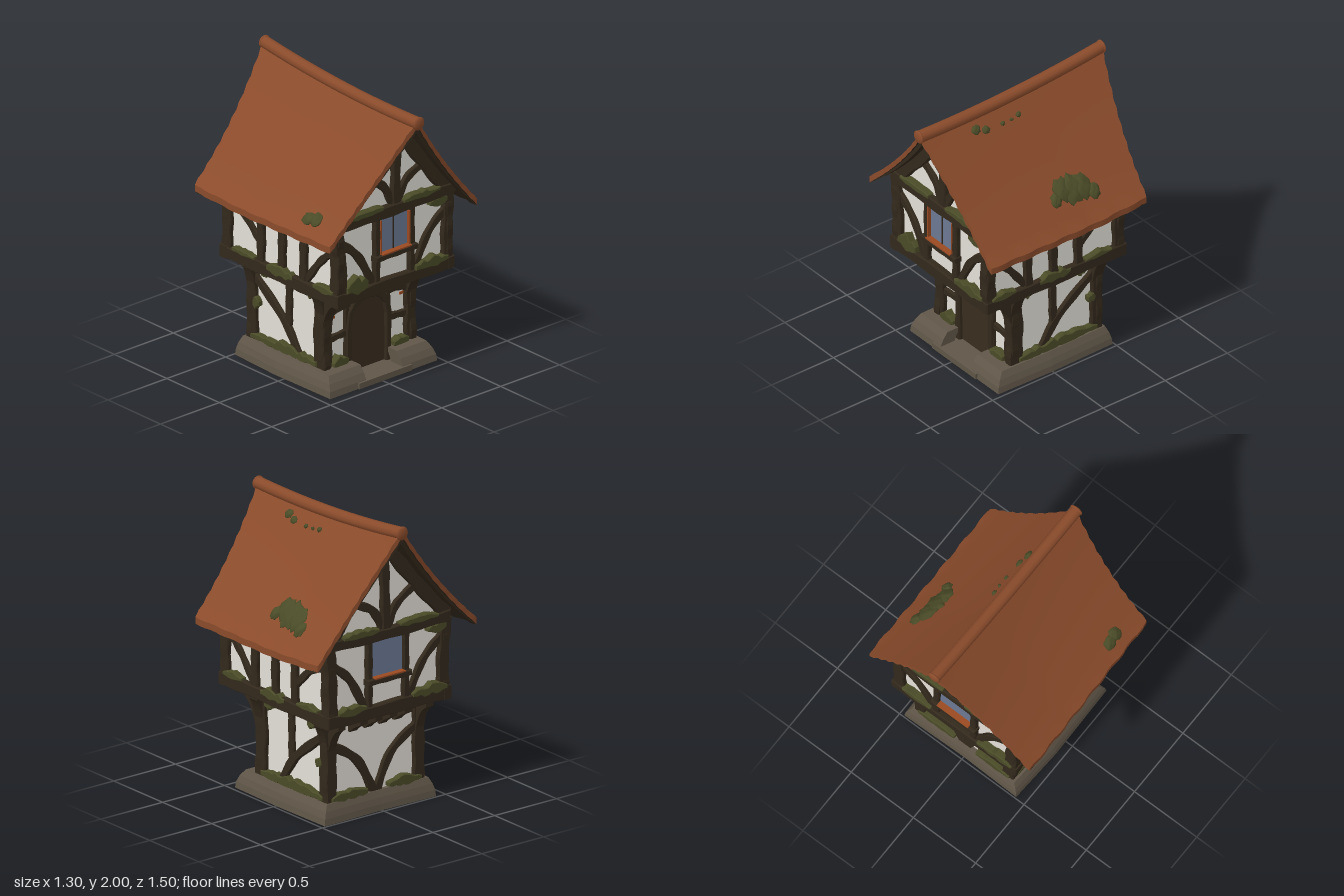
import * as THREE from 'three';

const mat = (name, color) => {
  const m = new THREE.MeshStandardMaterial({ color, side: THREE.DoubleSide });
  m.name = name;
  return m;
};

export function createModel() {
  const root = new THREE.Group();
  const timber = mat('dark timber', 0x33291c), plaster = mat('plaster', 0xe4e0d8);
  const tile = mat('roof tile', 0x8a4b2b), stone = mat('stone', 0x605648);
  const moss = mat('moss', 0x4a4b27), glass = mat('window glass', 0x6c7994);
  const doorWood = mat('door wood', 0x382d1e), trim = mat('brick trim', 0x9a4a22);

  let seed = 7;
  const rnd = () => (seed = (seed * 16807) % 2147483647) / 2147483647;
  const add = (parent, name, geo, material) => {
    const m = new THREE.Mesh(geo, material);
    m.name = name;
    parent.add(m);
    return m;
  };
  const box = (parent, name, material, x0, x1, y0, y1, z0, z1) =>
    add(parent, name, new THREE.BoxGeometry(x1 - x0, y1 - y0, z1 - z0), material)
      .position.set((x0 + x1) / 2, (y0 + y1) / 2, (z0 + z1) / 2);
  const poly = pts => new THREE.Shape(pts.map(p => new THREE.Vector2(p[0], p[1])));

  // Wall frames: local x runs along the wall, y up, z outward
  const wall = (name, x, z, turn) => {
    const g = new THREE.Group();
    g.name = name;
    g.position.set(x, 0, z);
    g.rotation.y = turn;
    root.add(g);
    return g;
  };

  // Hand-hewn timber along a smooth line on a wall
  const beam = (w, pts, width = 0.06, out = 0.035, name = 'beam') => {
    const curve = new THREE.SplineCurve(pts.map(p => new THREE.Vector2(p[0], p[1])));
    const n = 14, a = [], b = [], phase = rnd() * 6;
    for (let i = 0; i <= n; i++) {
      const p = curve.getPoint(i / n), t = curve.getTangent(i / n);
      const h = width / 2 * (1 + 0.1 * Math.sin(i * 1.3 + phase)) - 0.006;
      a.push([p.x - t.y * h, p.y + t.x * h]);
      b.unshift([p.x + t.y * h, p.y - t.x * h]);
    }
    const geo = new THREE.ExtrudeGeometry(poly([...a, ...b]), {
      depth: out + 0.01, bevelThickness: 0.008, bevelSize: 0.006, bevelSegments: 1 });
    geo.translate(0, 0, -0.018);
    add(w, name, geo, timber);
  };

  // Ragged moss lying along a ledge
  const mossStrip = (w, x0, x1, y, h, out = 0.044) => {
    const top = [], low = [], n = Math.max(5, Math.round((x1 - x0) / 0.03));
    for (let i = 0; i <= n; i++) {
      const x = x0 + (x1 - x0) * i / n, e = 0.35 + 0.65 * Math.sin(Math.PI * i / n);
      top.push([x, y + h * e * (0.3 + 0.6 * rnd())]);
      low.unshift([x, y - h * e * (0.2 + 0.4 * rnd())]);
    }
    const geo = new THREE.ExtrudeGeometry(poly([...top, ...low]), {
      depth: out, bevelThickness: 0.006, bevelSize: 0.005, bevelSegments: 1 });
    add(w, 'moss', geo, moss);
  };

  // Curved bracket under the jetty
  const bracket = (w, u, reach, low, width) => {
    const s = new THREE.Shape();
    s.moveTo(-0.015, 0.69);
    s.lineTo(reach, 0.69);
    s.lineTo(reach, 0.645);
    s.quadraticCurveTo(0.04, 0.6, 0.02, low);
    s.lineTo(-0.015, low);
    const geo = new THREE.ExtrudeGeometry(s, { depth: width, bevelEnabled: false, curveSegments: 8 });
    geo.translate(0, 0, -width / 2).rotateY(-Math.PI / 2).translate(u, 0, 0);
    add(w, 'bracket', geo, timber);
  };

  // Sagging roof surface: d is the distance from the ridge line
  const RX = 0.04, D0 = -0.67, D1 = 0.6;
  const lift = z => 0.002 - 0.053 * z + 0.055 * z * z;
  const drop = d => d < 0 ? -1.28 * d - 0.28 * d * d : 1.43 * d - 0.25 * d * d;
  const part = d => d < 0 ? d / D0 : d / D1;
  const roofY = (d, z) => 1.905 - drop(d) + lift(z) * (1 - part(d)) + 0.06 * part(d) * Math.max(0, -z - 0.2);
  const half = d => 0.62 + 0.105 * (1 - part(d)) ** 2;

  // Slab following the roof from depth v0 to v1(d) below it, zr gives its z range
  const roofSlab = (name, material, v0, v1, zr, ragged) => {
    const geo = new THREE.BoxGeometry(1, 1, 1, 36, 1, 24), p = geo.attributes.position;
    for (let i = 0; i < p.count; i++) {
      const k = Math.round((p.getX(i) + 0.5) * 36), j = Math.round((p.getZ(i) + 0.5) * 24);
      let d = k < 18 ? D0 * (1 - k / 18) : D1 * (k / 18 - 1);
      const [za, zb] = zr(d);
      let z = za + (zb - za) * j / 24;
      if (ragged && (j === 0 || j === 24)) z += Math.sign(z) * 0.008 * (k % 2);
      const y = roofY(d, z) - (p.getY(i) > 0 ? v0 : v1(d));
      if (d < 0) d *= 1 - 0.04 * z;
      if (ragged && (k === 0 || k === 36)) d += Math.sign(d) * 0.008 * (Math.floor(j / 2) % 2);
      p.setXYZ(i, RX + d, y, z);
    }
    geo.computeVertexNormals();
    add(root, name, geo, material);
  };
  // Tiles above and on the edges, timber boarding underneath
  roofSlab('roof', [tile, tile, tile, timber, tile, tile], 0, () => 0.045, d => [-half(d) - 0.01, half(d)], true);
  const boardDepth = d => 0.095 - 0.045 * part(d);
  roofSlab('frontBargeBoard', timber, 0.04, boardDepth, d => [half(d) - 0.07, half(d) - 0.015]);
  roofSlab('backBargeBoard', timber, 0.04, boardDepth, d => [0.005 - half(d), 0.06 - half(d)]);

  // Rounded ridge tiles with blunt ends
  const ridge = [];
  for (let i = 0; i <= 8; i++) {
    const z = -0.735 + 1.47 * i / 8;
    ridge.push(new THREE.Vector3(RX, roofY(0, z) - 0.022, z));
  }
  add(root, 'ridgeCap', new THREE.TubeGeometry(new THREE.CatmullRomCurve3(ridge), 24, 0.042, 10), tile);
  for (const i of [0, 8]) {
    const end = add(root, 'ridgeEnd', new THREE.SphereGeometry(0.046, 14, 10), tile);
    end.position.copy(ridge[i]);
    end.scale.z = 0.35;
  }

  // Upper storey and gables
  const hull = [[-0.45, 0.69], [0.47, 0.69]];
  for (let i = 8; i >= -8; i--) {
    const x = i > 0 ? RX + (0.47 - RX) * i / 8 : RX + (0.45 + RX) * i / 8;
    hull.push([x, roofY(x - RX, 0) - 0.032]);
  }
  add(root, 'upperWalls', new THREE.ExtrudeGeometry(poly(hull), { depth: 1.04, bevelEnabled: false })
    .translate(0, 0, -0.53), plaster);
  box(root, 'jettyFloor', timber, -0.45, 0.47, 0.665, 0.7, -0.54, 0.52);

  // Ground storey walls, thin and open underneath
  const ground = poly([[-0.34, -0.25], [0.39, -0.25], [0.39, 0.42], [-0.34, 0.42]]);
  ground.holes.push(new THREE.Path(poly([[-0.332, -0.242], [0.382, -0.242], [0.382, 0.412], [-0.332, 0.412]]).getPoints()));
  add(root, 'lowerWalls', new THREE.ExtrudeGeometry(ground, { depth: 0.6, bevelEnabled: false })
    .rotateX(-Math.PI / 2).translate(0, 0.08, 0), plaster);

  // Upper front and back framing
  for (const s of [1, -1]) {
    const w = wall(s > 0 ? 'frontUpper' : 'backUpper', 0, s > 0 ? 0.51 : -0.53, s > 0 ? 0 : Math.PI);
    const line = (pts, ...r) => beam(w, pts.map(p => [p[0] * s, p[1]]), ...r);
    line([[-0.485, 0.72], [0.505, 0.72]], 0.085, 0.045, 'sillBeam');
    line([[-0.48, 1.235], [0, 1.225], [0.5, 1.235]], 0.075, 0.045, 'tieBeam');
    line([[-0.43, 0.74], [-0.44, 1], [-0.465, 1.22]], 0.08, 0.035, 'cornerPost');
    line([[0.46, 0.74], [0.465, 1], [0.48, 1.22]], 0.08, 0.035, 'cornerPost');
    for (const [x, xm, xe] of [[-0.42, -0.28, -0.16], [0.46, 0.31, 0.19]])
      line([[x, 1.1], [xm, 0.97], [xe, 0.75]], 0.055, 0.025, 'brace');
    // Window
    line([[-0.135, 0.75], [-0.135, 1.22]], 0.045);
    line([[0.16, 0.75], [0.16, 1.22]], 0.045);
    line([[-0.16, 0.925], [0.185, 0.925]], 0.04, 0.055, 'windowSill');
    const c = 0.0125 * s;
    box(w, 'windowGlass', glass, c - 0.126, c + 0.126, 0.945, 1.195, 0.004, 0.012);
    box(w, 'windowTrim', trim, c - 0.125, c + 0.125, 0.941, 0.95, 0.01, 0.054);
    if (s > 0) {
      for (const k of [-1, 1])
        box(w, 'windowTrim', trim, c + k * 0.122 - 0.005, c + k * 0.122 + 0.005, 0.945, 1.18, 0.01, 0.037);
      box(w, 'windowBar', timber, c - 0.004, c + 0.004, 0.95, 1.19, 0.01, 0.016);
    }
    // Gable
    line([[0.025, 1.25], [0.03, 1.5], [0.04, 1.8]], 0.065, 0.035, 'gablePost');
    line([[0.0, 1.27], [-0.07, 1.4], [-0.22, 1.5]], 0.055, 0.025, 'gableBrace');
    line([[0.05, 1.27], [0.13, 1.4], [0.28, 1.47]], 0.055, 0.025, 'gableBrace');
    for (const e of [-0.5, 0.46])
      line([0.06, 0.25, 0.5, 0.75, 1].map(t => [RX + e * t, roofY(e * t, s * 0.52) - 0.112]), 0.085, 0.035, 'rafter');
    if (s > 0) mossStrip(w, -0.4, -0.23, 0.78, 0.09);
    else mossStrip(w, -0.42, -0.2, 0.765, 0.05);
    mossStrip(w, 0.18, 0.45, 0.765, 0.055);
    mossStrip(w, -0.38, -0.1, 1.262, 0.035);
    mossStrip(w, 0.08, 0.38, 1.262, 0.035);
    mossStrip(w, 0.31, 0.45, 1.17, 0.05, 0.035);
  }

  // Side framing, mirrored: m turns world z into the wall's own x
  for (const m of [-1, 1]) {
    const turn = -m * Math.PI / 2, tag = m < 0 ? 'right' : 'left';
    const up = wall(tag + 'Upper', m < 0 ? 0.47 : -0.45, 0, turn);
    const lo = wall(tag + 'Lower', m < 0 ? 0.39 : -0.34, 0, turn);
    const line = (w, pts, ...r) => beam(w, pts.map(p => [p[0] * m, p[1]]), ...r);
    line(up, [[0.55, 0.72], [-0.57, 0.72]], 0.085, 0.04, 'sillBeam');
    line(up, [[0.53, 1.175], [-0.55, 1.175]], 0.14, 0.03, 'wallPlate');
    for (const z of [0.505, 0.2, -0.005, -0.205, -0.525])
      line(up, [[z, 0.74], [z + 0.005, 0.95], [z, 1.15]], Math.abs(z) > 0.4 ? 0.08 : 0.06, 0.03, 'post');
    line(up, [[0.47, 1.04], [0.35, 0.93], [0.23, 0.77]], 0.05, 0.022, 'brace');
    line(up, [[-0.5, 1.07], [-0.36, 1.02], [-0.23, 0.9]], 0.05, 0.022, 'brace');
    line(lo, [[0.31, 0.66], [-0.46, 0.66]], 0.065, 0.03, 'topBeam');
    line(lo, [[0.25, 0.1], [0.235, 0.35], [0.25, 0.66]], 0.1, 0.03, 'cornerPost');
    line(lo, [[-0.4, 0.1], [-0.405, 0.35], [-0.41, 0.66]], 0.08, 0.03, 'cornerPost');
    line(lo, [[-0.06, 0.64], [-0.065, 0.33]], 0.055, 0.022, 'post');
    line(lo, [[0.05, 0.12], [-0.1, 0.34], [-0.38, 0.56]], 0.06, 0.026, 'brace');
    for (const z of [0.25, -0.41]) bracket(lo, z * m, 0.075, 0.45, 0.08);
    for (const [a, b, y, h] of [[-0.12, 0.12, 0.745, 0.055], [-0.45, -0.25, 0.765, 0.03], [0.32, 0.5, 0.765, 0.035]])
      mossStrip(up, Math.min(a * m, b * m), Math.max(a * m, b * m), y, h, 0.038);
    mossStrip(lo, m < 0 ? -0.22 : -0.4, m < 0 ? 0.4 : 0.22, 0.15, 0.055, 0.035);
    for (const [z, y, r] of [[-0.36, 0.38, 0.025], [0.16, 0.62, 0.03], [-0.28, 0.62, 0.03]])
      mossStrip(lo, m * z - r, m * z + r, y, 0.06, 0.03);
  }

  // Ground floor front with the arched door
  const front = wall('frontLower', 0, 0.25, 0);
  for (const [x, e] of [[-0.33, -0.23], [0.38, 0.28]]) {
    beam(front, [[x, 0.1], [x, 0.66]], 0.08, 0.035, 'cornerPost');
    bracket(front, x, 0.2, 0.36, 0.08);
    for (const y of [0.32, 0.51])
      beam(front, [[x, y - 0.01], [e, y], [e * 0.6 + 0.01, y + 0.005]], 0.048, 0.022, 'rail');
    beam(front, [[e * 0.68 + 0.006, 0.1], [e * 0.68 + 0.006, 0.66]], 0.04, 0.022, 'post');
    box(front, 'bareBrick', trim, e * 1.16 - 0.02, e * 1.16 + 0.02, 0.448, 0.465, 0.001, 0.008);
    mossStrip(front, e - 0.06, e + 0.06, 0.145, 0.06, 0.05);
    mossStrip(front, e - 0.05, e + 0.03, 0.655, 0.03, 0.044);
  }
  beam(front, [[-0.34, 0.67], [0.39, 0.67]], 0.045, 0.04, 'topBeam');
  beam(front, [[-0.31, 0.49], [-0.16, 0.545], [0.025, 0.57], [0.21, 0.545], [0.36, 0.49]], 0.05, 0.03, 'archBeam');
  const door = new THREE.Shape();
  door.moveTo(-0.13, 0.03);
  door.lineTo(0.18, 0.03);
  door.lineTo(0.18, 0.43);
  door.bezierCurveTo(0.17, 0.57, -0.12, 0.57, -0.13, 0.43);
  add(front, 'door', new THREE.ExtrudeGeometry(door, { depth: 0.03, bevelEnabled: false }).translate(0, 0, -0.02), doorWood);
  beam(front, [[-0.14, 0.03], [-0.142, 0.22], [-0.138, 0.42], [-0.08, 0.51], [0.025, 0.54],
    [0.13, 0.51], [0.188, 0.42], [0.192, 0.22], [0.19, 0.03]], 0.045, 0.035, 'doorFrame');

  // Ground floor back with V braces and a row of corbels
  const back = wall('backLower', 0, -0.42, Math.PI);
  for (const x of [-0.38, 0.33]) beam(back, [[x, 0.1], [x, 0.66]], 0.085, 0.03, 'cornerPost');
  beam(back, [[-0.4, 0.65], [0.36, 0.65]], 0.07, 0.03, 'topBeam');
  beam(back, [[-0.36, 0.5], [-0.16, 0.36], [-0.03, 0.12]], 0.06, 0.025, 'brace');
  beam(back, [[0.31, 0.5], [0.11, 0.36], [-0.01, 0.12]], 0.06, 0.025, 'brace');
  for (const x of [-0.38, -0.2, -0.08, 0.04, 0.16, 0.33])
    bracket(back, x, 0.13, x < -0.3 || x > 0.3 ? 0.42 : 0.57, 0.06);
  mossStrip(back, -0.38, -0.1, 0.145, 0.05, 0.035);
  mossStrip(back, 0.08, 0.34, 0.145, 0.05, 0.035);

  // Hollow stone footing with a gap for the door, spreading at the ground
  const foot = poly([[-0.13, -0.37], [-0.4, -0.37], [-0.41, 0.1], [-0.39, 0.46], [0, 0.45], [0.43, 0.46], [0.44, 0],
    [0.43, -0.37], [0.18, -0.37], [0.18, -0.26], [0.395, -0.26], [0.395, 0.425], [-0.345, 0.425], [-0.345, -0.26], [-0.13, -0.26]]);
  const footGeo = new THREE.ExtrudeGeometry(foot, { depth: 0.13, steps: 3, bevelEnabled: false }).rotateX(-Math.PI / 2);
  const fp = footGeo.attributes.position;
  for (let i = 0; i < fp.count; i++) {
    const x = fp.getX(i), y = fp.getY(i), z = fp.getZ(i), k = 1 - (y / 0.13) ** 2;
    if (Math.abs(x) > 0.3) fp.setX(i, x + Math.sign(x) * 0.04 * k);
    if (z > 0.2) fp.setZ(i, z + 0.06 * k);
    if (z < -0.42) fp.setZ(i, z - 0.03 * k);
  }
  footGeo.computeVertexNormals();
  add(root, 'stoneFooting', footGeo, stone);
  box(root, 'doorStep', stone, -0.2, 0.25, 0, 0.04, 0.22, 0.44);

  // Moss tufts on the roof
  const tuft = (d, z, rx, ry, rz) => {
    const geo = new THREE.SphereGeometry(1, 14, 10), p = geo.attributes.position;
    for (let i = 0; i < p.count; i++) {
      const x = p.getX(i), y = p.getY(i), q = p.getZ(i);
      const k = 1 + 0.16 * Math.sin(5 * x + 40 * z) * Math.cos(6 * q + 30 * d) + 0.08 * Math.sin(9 * y);
      p.setXYZ(i, x * k * rx, y * k * ry, q * k * rz);
    }
    geo.computeVertexNormals();
    const m = add(root, 'roofMoss', geo, moss);
    m.position.set(RX + d, roofY(d, z), z);
    m.rotation.z = Math.atan2(roofY(d + 0.02, z) - roofY(d - 0.02, z), 0.04);
  };
  for (const [d, z, r] of [[0.45, -0.02, 0.05], [0.42, -0.09, 0.08], [0.435, -0.16, 0.1], [0.44, -0.23, 0.09], [0.48, -0.3, 0.055]])
    tuft(d, z, r, 0.022, r * 0.8);
  for (const [d, z, r] of [[0.085, 0, 0.018], [0.09, 0.06, 0.012], [0.09, 0.13, 0.015], [0.085, 0.26, 0.026], [0.07, 0.33, 0.032]])
    tuft(d, z, r, 0.014, r * 1.1);
  tuft(-0.58, 0.34, 0.045, 0.018, 0.05);
  tuft(-0.57, 0.4, 0.05, 0.018, 0.045);
  return root;
}
